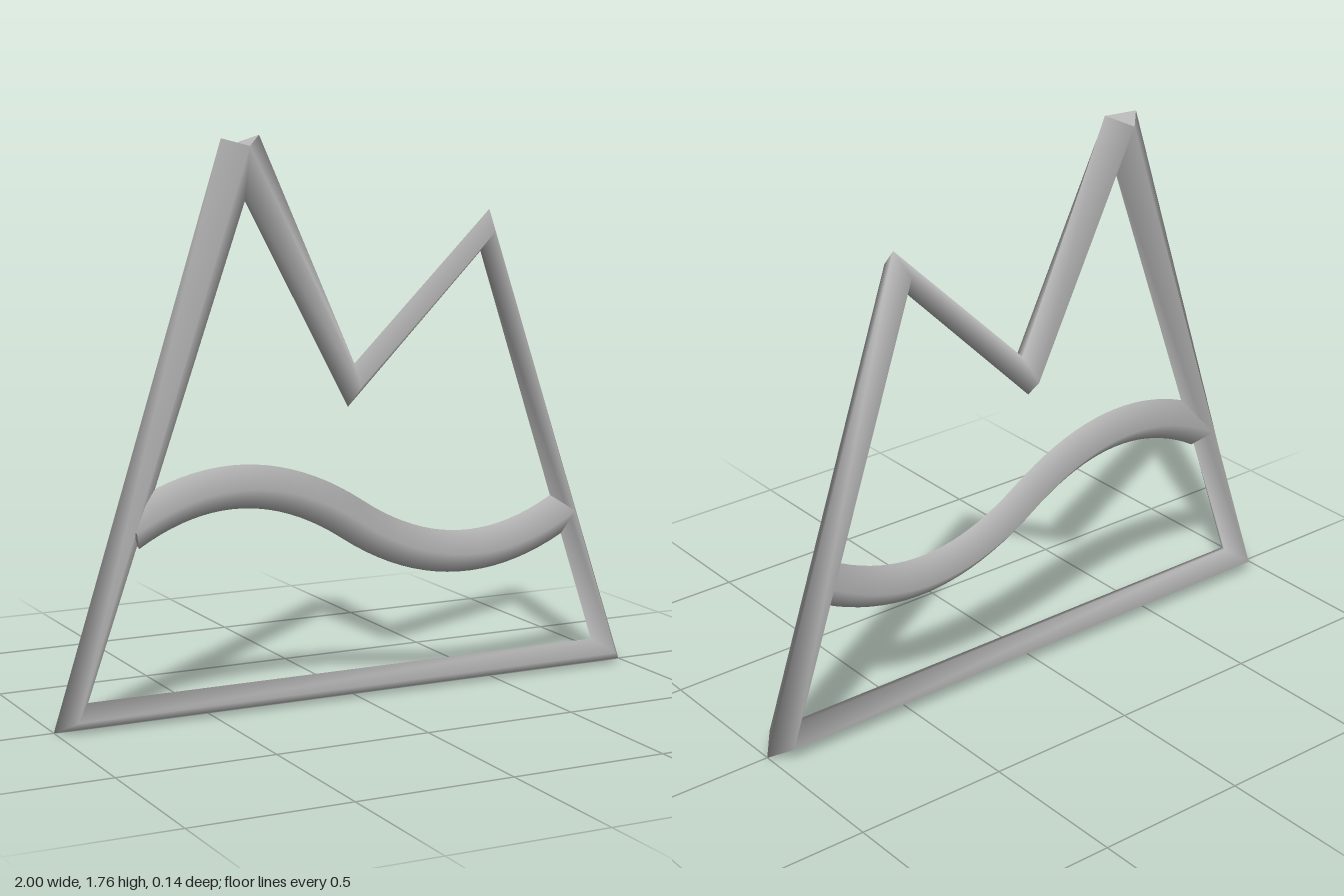
import * as THREE from 'three';

const RADIUS = 0.068;
const SIDES = 4;

// Sweeps a smooth-shaded diamond section along a flat path, one ring per point
function sweep(points) {
  const pos = [], nor = [], idx = [];
  const z = new THREE.Vector3(0, 0, 1);
  const last = points.length - 1;
  const dir = (i) => points[i + 1].clone().sub(points[i]).normalize();

  const rings = points.map((p, i) => {
    const t = i === 0 ? dir(0) : i === last ? dir(last - 1) : dir(i - 1).add(dir(i)).normalize();
    const centre = new THREE.Vector3(p.x, p.y, 0);
    const side = new THREE.Vector3(-t.y, t.x, 0);
    const radials = [];
    for (let j = 0; j <= SIDES; j++) {
      const a = (j / SIDES) * Math.PI * 2;
      radials.push(side.clone().multiplyScalar(Math.cos(a)).addScaledVector(z, Math.sin(a)));
    }
    return { centre, radials, t: new THREE.Vector3(t.x, t.y, 0) };
  });

  const add = (p, n) => {
    pos.push(p.x, p.y, p.z);
    nor.push(n.x, n.y, n.z);
    return pos.length / 3 - 1;
  };

  // Walls
  rings.forEach(({ centre, radials }) => {
    radials.forEach((r) => add(centre.clone().addScaledVector(r, RADIUS), r));
  });
  const row = SIDES + 1;
  for (let i = 0; i < last; i++) {
    for (let j = 0; j < SIDES; j++) {
      const a = i * row + j, b = a + row;
      idx.push(a, a + 1, b, b, a + 1, b + 1);
    }
  }

  // Flat end caps
  [[rings[0], -1], [rings[last], 1]].forEach(([{ centre, radials, t }, sign]) => {
    const n = t.clone().multiplyScalar(sign);
    const c = add(centre, n);
    radials.forEach((r) => add(centre.clone().addScaledVector(r, RADIUS), n));
    for (let j = 1; j <= SIDES; j++) {
      if (sign > 0) idx.push(c, c + j, c + j + 1);
      else idx.push(c, c + j + 1, c + j);
    }
  });

  const g = new THREE.BufferGeometry();
  g.setAttribute('position', new THREE.Float32BufferAttribute(pos, 3));
  g.setAttribute('normal', new THREE.Float32BufferAttribute(nor, 3));
  g.setIndex(idx);
  return g;
}

export function createModel() {
  const group = new THREE.Group();
  group.name = 'mountainOrnament';
  const grey = new THREE.MeshStandardMaterial({ color: 0xb8b8b8 });
  grey.name = 'grey';
  const v = (x, y) => new THREE.Vector2(x, y);

  // Twin-peaked outline, starting and ending at the tall peak
  const outline = new THREE.Mesh(sweep([
    v(-0.376, 1.738), v(-0.945, 0.043), v(0.945, 0.043),
    v(0.47, 1.457), v(-0.005, 0.99), v(-0.376, 1.738),
  ]), grey);
  outline.name = 'mountainOutline';

  // S-shaped bar across the middle
  const rise = new THREE.QuadraticBezierCurve(v(-0.752, 0.597), v(-0.38, 0.82), v(0, 0.565));
  const dip = new THREE.QuadraticBezierCurve(v(0, 0.565), v(0.385, 0.307), v(0.778, 0.535));
  const wave = new THREE.Mesh(sweep([...rise.getPoints(20), ...dip.getPoints(20).slice(1)]), grey);
  wave.name = 'waveBar';

  group.add(outline, wave);
  return group;
}
